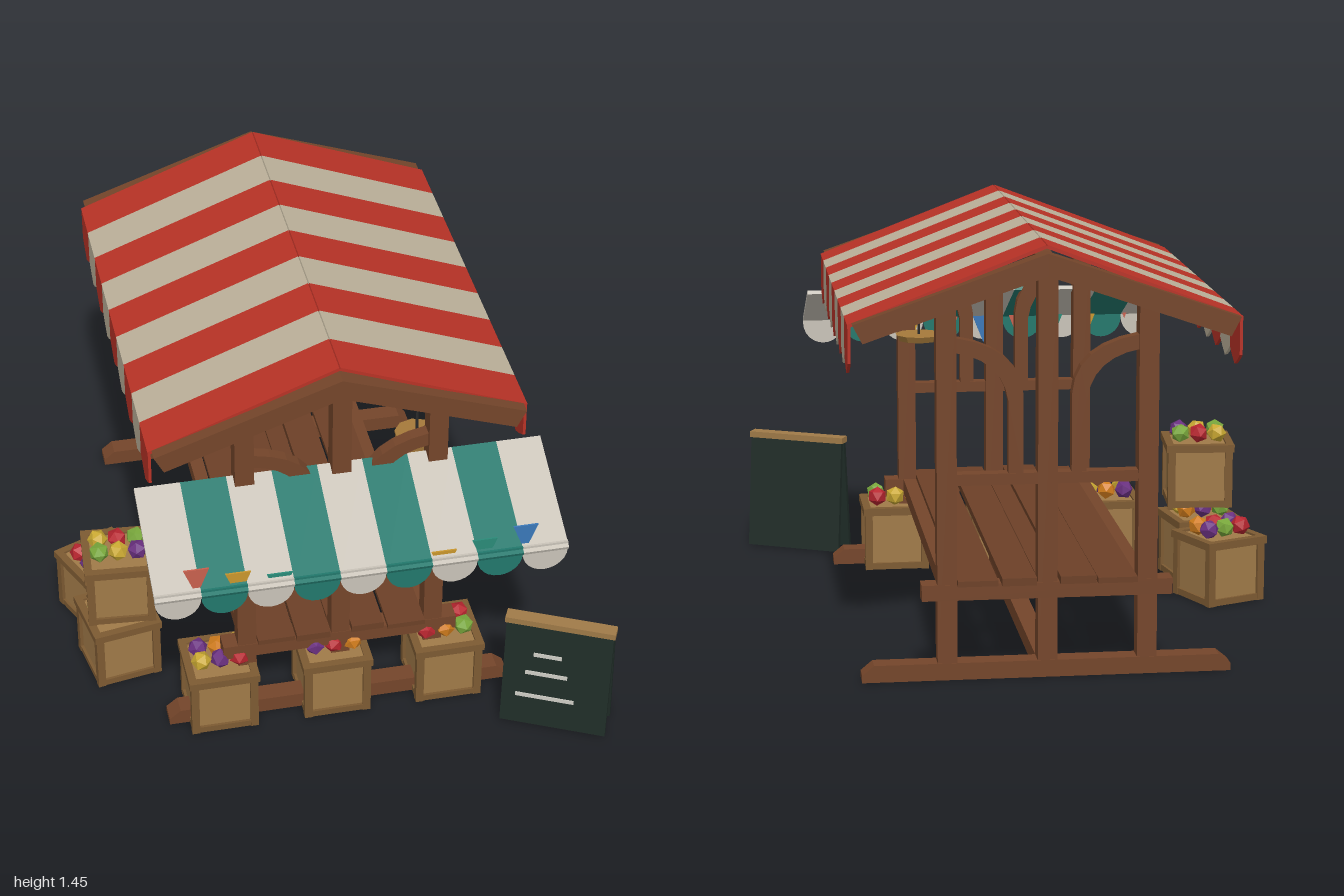
import * as THREE from 'three';

const mat = (color, side = THREE.FrontSide) =>
  new THREE.MeshStandardMaterial({ color, flatShading: true, side });
const WOOD = mat(0x74452a), PLANK = mat(0x6c4027), TRIM = mat(0x7d5a32), PANEL = mat(0xa07a48);
const RED = mat(0xb83226, THREE.DoubleSide), CREAM = mat(0xbcb19a, THREE.DoubleSide);
const WHITE = mat(0xc9c3b8, THREE.DoubleSide), TEAL = mat(0x22786c, THREE.DoubleSide);
const BOARD = mat(0x1f2c27), CHALK = mat(0xc9c8c0), BRASS = mat(0xa5793a), DARK = mat(0x2a2a2a);
const FRUIT = [0x6a3080, 0xb8252f, 0xd07c1c, 0x79a83c, 0xc9a832].map((c) => mat(c));
const FLAGS = [0xc8604e, 0xc9962c, 0x2a8a78, 0xc8604e, 0x3a78b8, 0xc8604e, 0xc9962c, 0x2a8a78, 0x3a78b8]
  .map((c) => mat(c, THREE.DoubleSide));

function add(parent, name, geometry, material, x = 0, y = 0, z = 0) {
  const mesh = new THREE.Mesh(geometry, material);
  mesh.name = name;
  mesh.position.set(x, y, z);
  parent.add(mesh);
  return mesh;
}

// Box given by its limits on each axis
function box(parent, name, material, x0, x1, y0, y1, z0, z1) {
  return add(parent, name, new THREE.BoxGeometry(x1 - x0, y1 - y0, z1 - z0), material,
    (x0 + x1) / 2, (y0 + y1) / 2, (z0 + z1) / 2);
}

const polygon = (points) => new THREE.Shape(points.map(([x, y]) => new THREE.Vector2(x, y)));

// Shape given thickness, centred on z = 0
function extrude(shape, depth) {
  const g = new THREE.ExtrudeGeometry(shape, { depth, bevelEnabled: false, curveSegments: 6 });
  return g.translate(0, 0, -depth / 2);
}

// Posts, beams, rafters and curved braces of one end of the stall
function endFrame(z) {
  const g = new THREE.Group();
  g.name = 'endFrame';
  g.position.z = z;
  const d = 0.034;
  for (const x of [-0.335, 0, 0.335])
    box(g, 'post', WOOD, x - 0.033, x + 0.033, 0.02, x ? 1.29 : 1.4, -d, d);
  add(g, 'baseBeam', extrude(polygon([[-0.62, 0.01], [0.62, 0.01], [0.62, 0.035], [0.58, 0.068],
    [-0.58, 0.068], [-0.62, 0.035]]), 0.072), WOOD);
  box(g, 'counterBeam', WOOD, -0.42, 0.42, 0.283, 0.337, -0.036, 0.036);
  box(g, 'middleBeam', WOOD, -0.32, 0.32, 0.67, 0.708, -0.025, 0.025);
  add(g, 'rafters', extrude(polygon([[0, 1.437], [-0.64, 1.215], [-0.607, 1.152], [0, 1.362],
    [0.607, 1.152], [0.64, 1.215]]), 0.07), WOOD);
  const brace = new THREE.Shape();
  brace.moveTo(0.08, 0.69);
  brace.lineTo(0.13, 0.69);
  brace.lineTo(0.13, 0.95);
  brace.quadraticCurveTo(0.15, 1.09, 0.31, 1.115);
  brace.lineTo(0.31, 1.165);
  brace.quadraticCurveTo(0.09, 1.13, 0.08, 0.97);
  const geo = extrude(brace, 0.045);
  add(g, 'curvedBrace', geo, WOOD);
  add(g, 'curvedBrace', geo, WOOD).rotation.y = Math.PI;
  return g;
}

// Striped gable roof with a pointed valance along each eave
function roof() {
  const g = new THREE.Group();
  g.name = 'roof';
  const w = 1.515 / 9, slope = Math.atan2(0.25, 0.652), len = Math.hypot(0.25, 0.652);
  const sheet = new THREE.BoxGeometry(len, 0.012, w);
  const edge = extrude(polygon([[-w / 2, 0], [-w / 2, -0.13], [-w / 4, -0.155], [0, -0.175],
    [w / 4, -0.155], [w / 2, -0.13], [w / 2, 0]]), 0.01);
  for (let i = 0; i < 9; i++) {
    const z = 0.587 - (i + 0.5) * w, m = i % 2 ? CREAM : RED;
    for (const s of [-1, 1]) {
      add(g, 'roofStripe', sheet, m, s * 0.326, 1.329, z).rotation.z = -s * slope;
      add(g, 'roofValance', edge, m, s * 0.648, 1.21, z).rotation.y = Math.PI / 2;
    }
  }
  return g;
}

// Sloping front awning with rounded scallops and a string of flags
function awning() {
  const g = new THREE.Group();
  g.name = 'awning';
  const w = 1.41 / 9, tilt = Math.atan2(0.175, 0.395);
  const sheet = new THREE.BoxGeometry(w, 0.014, 0.432);
  const s = new THREE.Shape();
  s.moveTo(w / 2, 0.02);
  s.lineTo(-w / 2, 0.02);
  s.lineTo(-w / 2, -0.01);
  s.absarc(0, -0.01, w / 2, Math.PI, Math.PI * 2, false);
  const scallop = extrude(s, 0.008);
  const flag = extrude(polygon([[-0.043, 0], [0, -0.11], [0.043, 0]]), 0.006);
  for (let i = 0; i < 9; i++) {
    const x = (i - 4) * w, m = i % 2 ? TEAL : WHITE;
    add(g, 'awningStripe', sheet, m, x, 0.975, 0.785).rotation.x = tilt;
    add(g, 'awningScallop', scallop, m, x, 0.888, 0.968);
    const fx = (i - 4) * 0.14;
    add(g, 'flag', flag, FLAGS[i], fx, 0.9 + 0.27 * fx * fx, 0.95);
  }
  return g;
}

// Wooden crate with a framed box and two rows of fruit on top
function crate(x, y, z, turn, seed) {
  const g = new THREE.Group();
  g.name = 'fruitCrate';
  g.position.set(x, y, z);
  g.rotation.y = turn;
  const h = 0.245, r = 0.12, t = 0.028;
  box(g, 'crateBody', PANEL, -0.108, 0.108, 0.004, h - 0.008, -0.108, 0.108);
  for (const s of [-1, 1]) {
    for (const [a, b, o] of [[0.006, 0.03, 0.118], [h - 0.028, h, 0.126]]) {
      add(g, 'crateRail', new THREE.BoxGeometry(o * 2, b - a, t), TRIM, 0, (a + b) / 2, s * (o - t / 2));
      add(g, 'crateRail', new THREE.BoxGeometry(t, b - a, (o - t) * 2), TRIM, s * (o - t / 2), (a + b) / 2, 0);
    }
    for (const q of [-1, 1])
      add(g, 'crateCorner', new THREE.BoxGeometry(t, h - 0.01, t), TRIM, s * (r - t / 2), h / 2, q * (r - t / 2));
  }
  const ball = new THREE.IcosahedronGeometry(0.037, 0);
  for (let i = 0; i < 6; i++) {
    const f = add(g, 'fruit', ball, FRUIT[(seed + i * (i > 2 ? 2 : 1)) % 5],
      ((i % 3) - 1) * 0.068, h + 0.028, i < 3 ? 0.036 : -0.036);
    f.rotation.set(i * 1.3 + seed, i * 0.7, seed * 0.5);
  }
  return g;
}

// Folding chalkboard: two leaning panels joined by a top strip
function signBoard() {
  const g = new THREE.Group();
  g.name = 'chalkboard';
  g.position.set(0.735, 0, 0.873);
  g.rotation.y = -0.46;
  for (const s of [-1, 1]) {
    const leaf = new THREE.Group();
    leaf.name = 'boardLeaf';
    leaf.position.set(0, 0.44, s * 0.012);
    leaf.rotation.x = -s * 0.1;
    box(leaf, 'panel', BOARD, -0.19, 0.19, -0.43, 0, -0.009, 0.009);
    if (s > 0)
      for (const [y, l] of [[-0.125, 0.05], [-0.205, 0.075], [-0.305, 0.105]])
        box(leaf, 'chalkLine', CHALK, -l - 0.035, l - 0.035, y - 0.007, y + 0.007, 0.006, 0.014);
    g.add(leaf);
  }
  box(g, 'topStrip', PANEL, -0.195, 0.195, 0.435, 0.458, -0.025, 0.025);
  return g;
}

// Hanging scale: cord, drum and pan
function hangingScale() {
  const g = new THREE.Group();
  g.name = 'hangingScale';
  g.position.set(0.295, 0, 0.485);
  const cyl = (name, m, r0, r1, y0, y1, n) =>
    add(g, name, new THREE.CylinderGeometry(r0, r1, y1 - y0, n), m, 0, (y0 + y1) / 2, 0);
  cyl('cord', DARK, 0.005, 0.005, 0.9, 1.33, 6);
  cyl('drum', BRASS, 0.077, 0.07, 1.015, 1.07, 10);
  cyl('pan', BRASS, 0.09, 0.078, 0.892, 0.915, 10);
  return g;
}

export function createModel() {
  const model = new THREE.Group();
  model.name = 'marketStall';
  model.add(endFrame(0.597), endFrame(-0.935));

  // Lengthwise beams
  box(model, 'baseRail', WOOD, -0.033, 0.033, 0.01, 0.068, -0.93, 0.59);
  box(model, 'ridgeBeam', WOOD, -0.03, 0.03, 1.365, 1.42, -0.965, 0.625);
  for (const s of [-1, 1])
    add(model, 'counterRail', new THREE.BoxGeometry(0.05, 0.054, 1.5), WOOD, s * 0.325, 0.31, -0.17);

  // Counter planks with slightly uneven ends
  [[-0.297, -0.165, -1, 0.64], [-0.16, -0.04, -0.995, 0.65], [-0.035, 0.035, -0.9, 0.56],
    [0.04, 0.155, -1, 0.64], [0.168, 0.302, -0.995, 0.65]].forEach(([a, b, c, d], i) =>
    box(model, 'counterPlank', PLANK, a, b, 0.335, 0.354 + (i % 2) * 0.007, c, d));

  model.add(roof(), awning(), hangingScale(), signBoard());

  // Crates along the front and stacked at one side
  [[-0.43, 0.005, 0.58, 0, 4], [-0.022, 0.005, 0.58, 0, 0], [0.385, 0.005, 0.58, 0, 1],
    [-0.74, 0.005, 0.25, 0.17, 2], [-0.73, 0.29, 0.262, -0.08, 3], [-0.755, 0.005, -0.055, 0.4, 0]]
    .forEach((c) => model.add(crate(...c)));
  return model;
}
